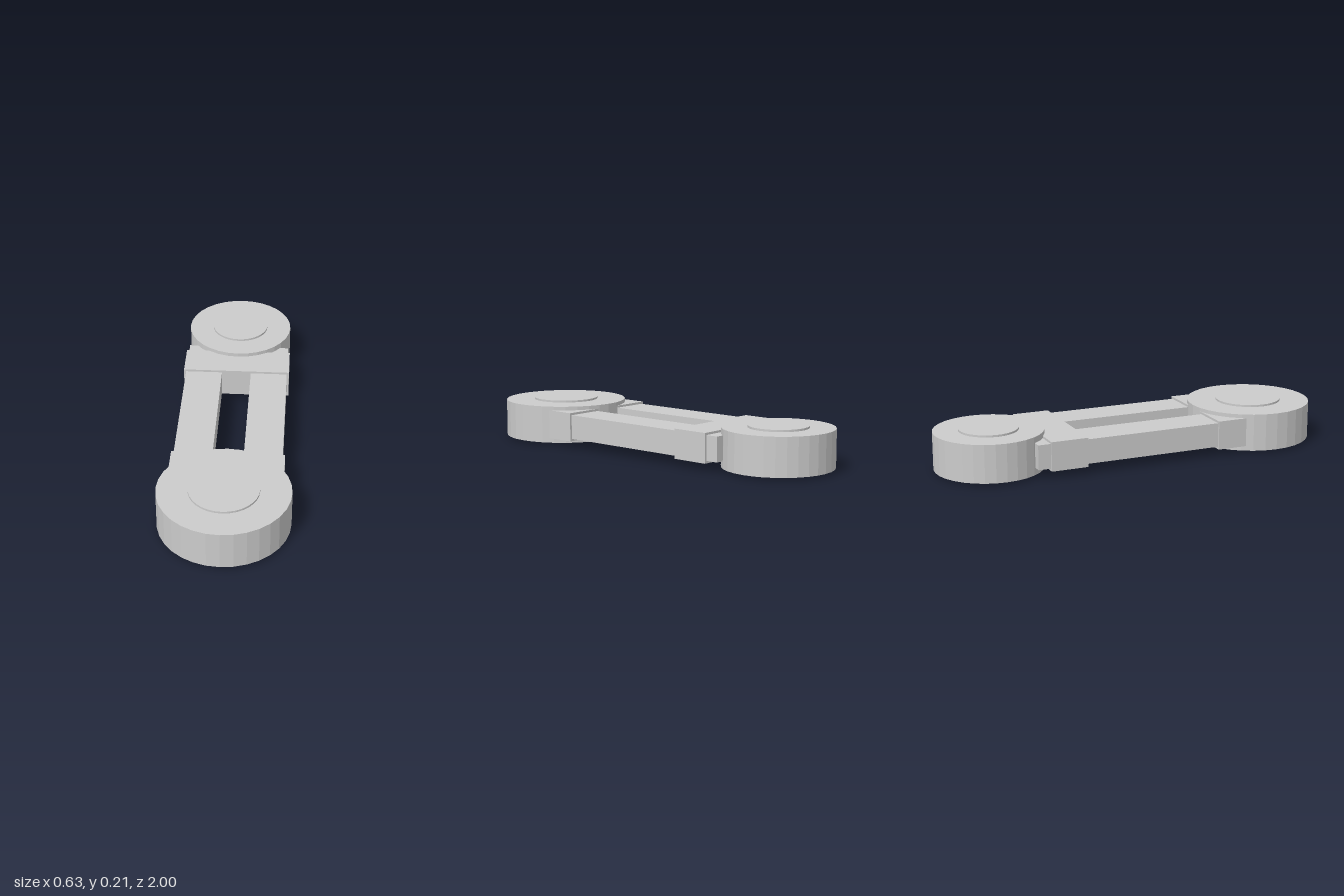
import * as THREE from 'three';

export function createModel() {
  const group = new THREE.Group();
  group.name = 'linkArm';
  const material = new THREE.MeshStandardMaterial({ color: 0xcccccc, flatShading: true });

  const add = (name, geometry, x, y, z) => {
    const mesh = new THREE.Mesh(geometry, material);
    mesh.name = name;
    mesh.position.set(x, y, z);
    group.add(mesh);
  };
  // Box and upright cylinder given by their extents
  const box = (name, x0, x1, y0, y1, z0, z1) =>
    add(name, new THREE.BoxGeometry(x1 - x0, y1 - y0, z1 - z0), (x0 + x1) / 2, (y0 + y1) / 2, (z0 + z1) / 2);
  const disc = (name, r, y0, y1, z) =>
    add(name, new THREE.CylinderGeometry(r, r, y1 - y0, 32), 0, (y0 + y1) / 2, z);

  // Round joint housings, each with a pin showing above and below
  disc('frontHousing', 0.315, 0.012, 0.2, 0.685);
  disc('frontPin', 0.167, 0, 0.21, 0.685);
  disc('backHousing', 0.27, 0.012, 0.2, -0.73);
  disc('backPin', 0.146, 0, 0.21, -0.73);

  // Pair of parallel beams
  box('leftBeam', 0.075, 0.262, 0.048, 0.17, -0.573, 0.57);
  box('rightBeam', -0.262, -0.075, 0.048, 0.17, -0.573, 0.57);

  // Collars clamping the beams at each end
  box('frontCollar', -0.273, 0.273, 0.036, 0.181, 0.378, 0.565);
  box('backCollar', -0.273, 0.273, 0.036, 0.181, -0.51, -0.323);

  return group;
}
